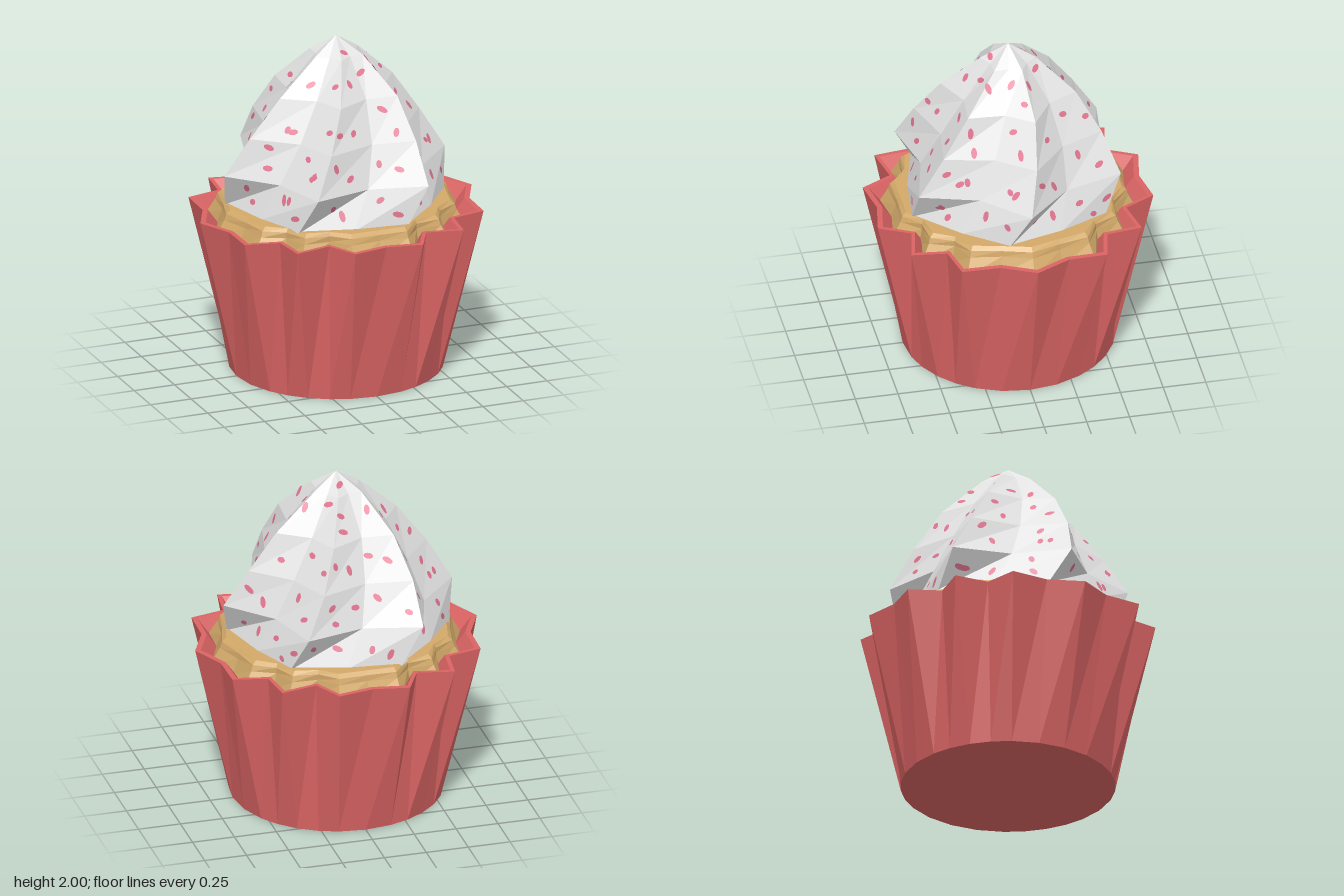
import * as THREE from 'three';
import { mergeGeometries } from 'three/addons/utils/BufferGeometryUtils.js';

const mat = (name, color, extra = {}) => Object.assign(new THREE.MeshStandardMaterial({ color, flatShading: true, ...extra }), { name });

// Triangles between closed rings listed bottom to top; zero-area ones are dropped
function loft(rings) {
  const tris = [];
  for (let i = 0; i < rings.length - 1; i++) {
    const lo = rings[i], hi = rings[i + 1], n = lo.length;
    for (let j = 0; j < n; j++) {
      const k = (j + 1) % n;
      for (const t of [[lo[j], hi[j], lo[k]], [lo[k], hi[j], hi[k]]]) {
        const tri = new THREE.Triangle(...t);
        if (tri.getArea() > 1e-6) tris.push(tri);
      }
    }
  }
  return tris;
}

function toGeometry(tris) {
  const geo = new THREE.BufferGeometry().setFromPoints(tris.flatMap(t => [t.a, t.b, t.c]));
  geo.computeVertexNormals();
  return geo;
}

// Pleated outline: one quarter, mirrored into a full loop of 28 corners
function pleatOutline() {
  const q = [[0.84, 0], [0.745, 0.2], [0.74, 0.425], [0.54, 0.47], [0.515, 0.675], [0.3, 0.63], [0.21, 0.807], [0, 0.768]];
  const half = [...q, ...q.slice(0, -1).reverse().map(([x, z]) => [-x, z])];
  return [...half, ...half.slice(1, -1).reverse().map(([x, z]) => [x, -z])];
}

// Ring from the outline, blended towards a circle of the given radius
const pleatRing = (y, scale, round = 0, radius = 0) => pleatOutline().map(([x, z]) => {
  const k = scale * (1 - round) + round * radius / Math.hypot(x, z);
  return new THREE.Vector3(x * k, y, z * k);
});

// Six-lobed ring of the twisted frosting
function lobeRing([y, tip, valley, twist, valleyTwist]) {
  return Array.from({ length: 12 }, (_, i) => {
    const odd = i % 2, r = odd ? valley : tip;
    const a = THREE.MathUtils.degToRad(i * 30 + (odd ? valleyTwist : twist));
    return new THREE.Vector3(r * Math.cos(a) - 0.01 * (r > 0.5), y, r * Math.sin(a));
  });
}

// Flat oval sprinkles spread evenly over the frosting area
function sprinkleGeometry(tris) {
  let seed = 7, area = 0.02;
  const rand = () => (seed = (seed * 16807) % 2147483647) / 2147483647;
  const spots = [], normal = new THREE.Vector3(), front = new THREE.Vector3(0, 0, 1);
  for (const t of tris) {
    area += t.getArea();
    while (area > 0.034) {
      area -= 0.034;
      const w = [0, 0, 0].map(() => 0.35 + rand()), sum = w[0] + w[1] + w[2];
      t.getNormal(normal);
      const p = new THREE.Vector3();
      [t.a, t.b, t.c].forEach((v, i) => p.addScaledVector(v, w[i] / sum));
      p.addScaledVector(normal, 0.004);
      const spot = new THREE.CircleGeometry(1, 10);
      spot.scale(0.022 + 0.014 * rand(), 0.017, 1).rotateZ(rand() * Math.PI);
      spot.applyQuaternion(new THREE.Quaternion().setFromUnitVectors(front, normal));
      spots.push(spot.translate(p.x, p.y, p.z));
    }
  }
  return mergeGeometries(spots);
}

export function createModel() {
  const group = new THREE.Group();
  const add = (name, geo, material) => {
    const mesh = new THREE.Mesh(geo, material);
    mesh.name = name;
    group.add(mesh);
  };

  // Pleated paper cup: base, outer wall, rim, inner wall
  add('paperCup', toGeometry(loft([
    pleatRing(0, 0), pleatRing(0, 0, 1, 0.617), pleatRing(0.965, 1),
    pleatRing(0.965, 0.96), pleatRing(0.87, 0.87),
  ])), mat('red paper', 0xdb6464));

  // Sponge rising just above the rim
  add('cake', toGeometry(loft([
    pleatRing(0.87, 0.89, 0.15, 0.74), pleatRing(0.965, 0.825, 0.4, 0.69), pleatRing(1.0, 0.81, 0.5, 0.68),
    pleatRing(1.022, 0.78, 0.6, 0.655), pleatRing(1.026, 0),
  ])), mat('golden sponge', 0xd3a969));

  // Frosting rings: height, lobe radius, valley radius, lobe twist, valley twist
  const frosting = loft([
    [1.01, 0.64, 0.58, 11, 11], [1.23, 0.682, 0.51, 0, 0], [1.46, 0.55, 0.41, -6, -8],
    [1.69, 0.39, 0.285, -12, -15], [1.9, 0.16, 0.12, -19, -20], [2.0, 0, 0, 0, 0],
  ].map(lobeRing));
  add('frosting', toGeometry(frosting), mat('white frosting', 0xe2e2e2));
  add('sprinkles', sprinkleGeometry(frosting), mat('pink sprinkle', 0xe0748f, { side: THREE.DoubleSide }));

  return group;
}
